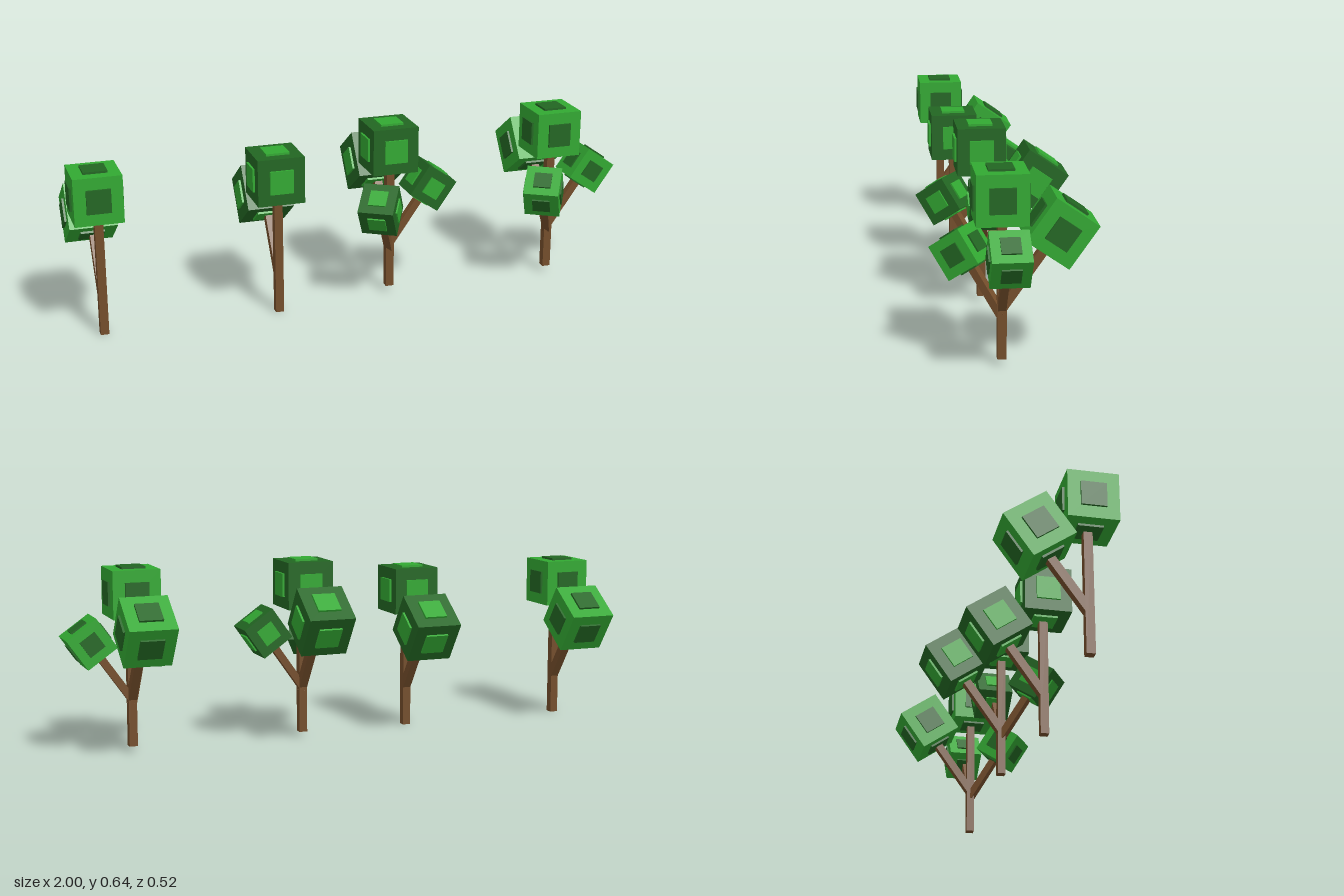
import * as THREE from 'three';

const mat = (color) => new THREE.MeshStandardMaterial({ color, flatShading: true });
const wood = mat(0x734d2a);
const light = mat(0x32a832);
const dark = mat(0x226622);
const BARK = 0.029;
const TILT = THREE.MathUtils.degToRad(35);

function box(name, w, h, d, material) {
  const mesh = new THREE.Mesh(new THREE.BoxGeometry(w, h, d), material);
  mesh.name = name;
  return mesh;
}

// Leaf cube with a raised square patch on each of its six faces
function leafCube(name, size, leaf, patch) {
  const group = new THREE.Group();
  group.name = name;
  group.add(box('leafBlock', size, size, size, leaf));
  const s = size / 2, long = size * 1.09;
  group.add(box('sidePatches', long, s, s, patch));
  group.add(box('topAndBottomPatches', s, long, s, patch));
  group.add(box('frontAndBackPatches', s, s, long, patch));
  return group;
}

// Square branch leaning out of the trunk; yaw 0 leans towards +z
function branch(name, yawDegrees, startY, length, width) {
  const stick = box(name, width, length, width, wood);
  stick.geometry.translate(0, length / 2, 0);
  stick.position.y = startY;
  stick.rotation.set(TILT, THREE.MathUtils.degToRad(yawDegrees), 0, 'YXZ');
  return stick;
}

function tree(name, x, z, baseY, topY, crown, limbs, leaf, patch) {
  const group = new THREE.Group();
  group.name = name;
  group.position.set(x, 0, z);

  const trunk = box('trunk', BARK, topY - baseY, BARK, wood);
  trunk.position.y = (baseY + topY) / 2;
  group.add(trunk);

  const top = leafCube('crown', 0.165, leaf, patch);
  top.position.set(...crown);
  group.add(top);

  for (const limb of limbs) {
    const stick = branch(limb.name + 'Branch', limb.yaw, limb.startY, limb.length, limb.width);
    const cube = leafCube(limb.name + 'Leaves', limb.size, leaf, patch);
    cube.position.set(...limb.at);
    cube.rotation.copy(stick.rotation);
    group.add(stick, cube);
  }
  return group;
}

// Limb positions are relative to the trunk axis
const forked = [
  { name: 'back', yaw: 180, startY: 0.145, length: 0.27, width: 0.029, size: 0.165, at: [-0.007, 0.387, -0.169] },
];
const spreading = [
  { name: 'back', yaw: 180, startY: 0.187, length: 0.28, width: 0.029, size: 0.165, at: [-0.007, 0.444, -0.18] },
  { name: 'left', yaw: 90, startY: 0.183, length: 0.24, width: 0.026, size: 0.125, at: [0.147, 0.392, -0.006] },
  { name: 'frontRight', yaw: -32, startY: 0.163, length: 0.22, width: 0.026, size: 0.125, at: [-0.073, 0.358, 0.117] },
];

export function createModel() {
  const model = new THREE.Group();
  model.name = 'treeRow';

  // Two taller-stemmed trees with one branch
  const crownA = [-0.007, 0.507, 0.001];
  model.add(tree('lightForkedTree', -0.909, 0.096, 0, 0.5, crownA, forked, light, dark));
  model.add(tree('darkForkedTree', -0.289, 0.096, 0, 0.5, crownA, forked, dark, light));

  // Two trees with three branches
  const crownB = [-0.007, 0.554, 0.005];
  model.add(tree('darkSpreadingTree', 0.141, 0.036, 0.02, 0.55, crownB, spreading, dark, light));
  model.add(tree('lightSpreadingTree', 0.762, 0.036, 0.02, 0.55, crownB, spreading, light, dark));
  return model;
}
